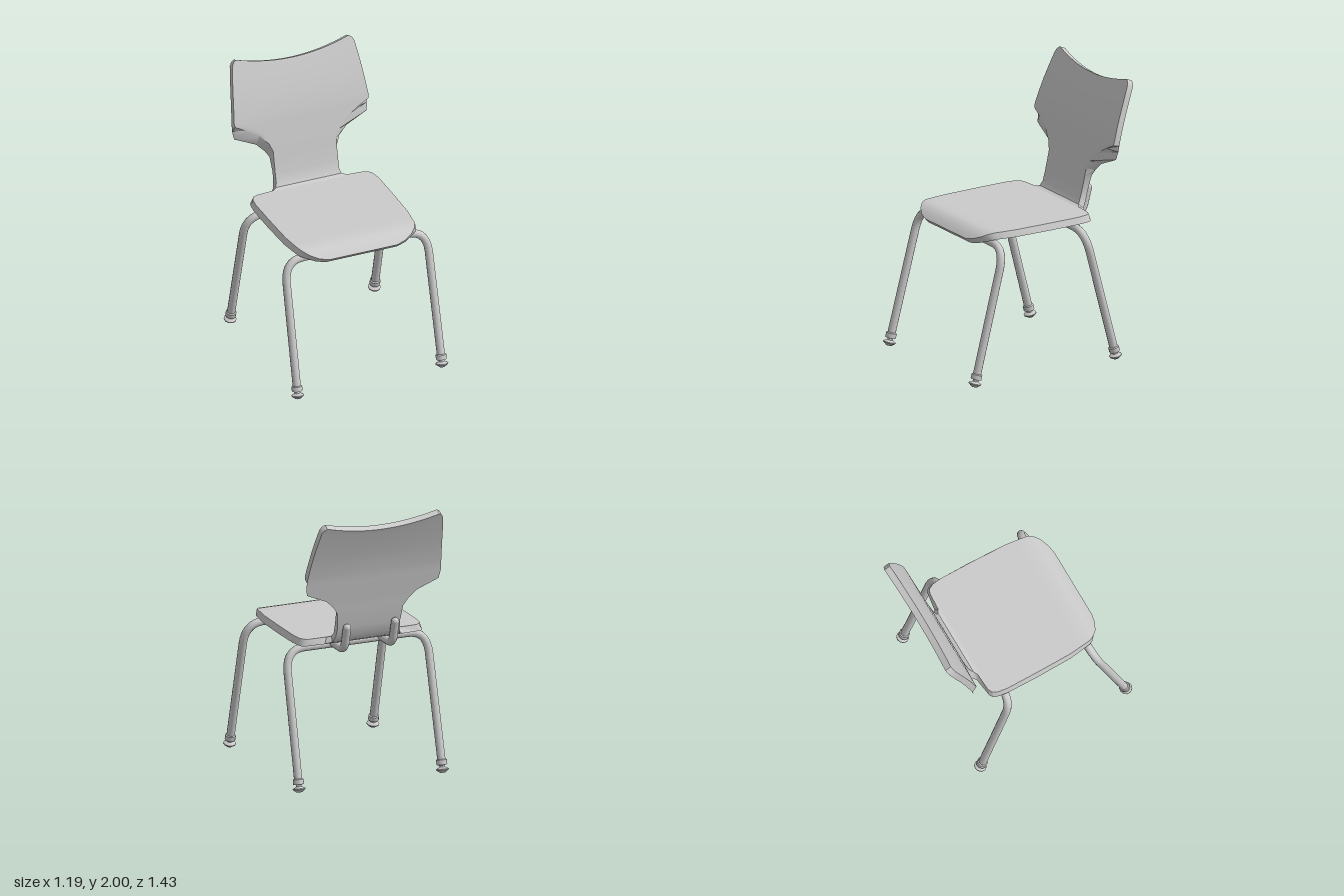
import * as THREE from 'three';
import { toCreasedNormals } from 'three/addons/utils/BufferGeometryUtils.js';

const material = new THREE.MeshStandardMaterial({ color: 0xcccccc });
const V = (x, y, z) => new THREE.Vector3(x, y, z);

function addMesh(parent, name, geometry) {
  const mesh = new THREE.Mesh(geometry, material);
  mesh.name = name;
  parent.add(mesh);
  return mesh;
}

// Shell cross-sections from seat front to back top:
// z, y of the sitting face, half width of the sitting face, half width of the rear face
const ROWS = [
  [0.56, 1.0, 0.26, 0.27], [0.545, 1.015, 0.33, 0.34], [0.515, 1.04, 0.39, 0.4],
  [0.48, 1.06, 0.425, 0.44], [0.44, 1.07, 0.445, 0.455], [0.36, 1.07, 0.455, 0.467],
  [0.27, 1.07, 0.465, 0.48], [0, 1.07, 0.47, 0.487], [-0.24, 1.07, 0.47, 0.485],
  [-0.31, 1.07, 0.46, 0.476], [-0.345, 1.07, 0.44, 0.465], [-0.36, 1.07, 0.41, 0.44],
  [-0.367, 1.072, 0.28, 0.3], [-0.385, 1.08, 0.25, 0.26], [-0.403, 1.11, 0.24, 0.245],
  [-0.42, 1.17, 0.24, 0.24], [-0.445, 1.28, 0.24, 0.252], [-0.455, 1.33, 0.24, 0.285],
  [-0.468, 1.39, 0.265, 0.345], [-0.485, 1.46, 0.33, 0.505], [-0.498, 1.52, 0.43, 0.516],
  [-0.507, 1.56, 0.508, 0.514], [-0.515, 1.59, 0.513, 0.512], [-0.543, 1.68, 0.503, 0.503],
  [-0.575, 1.77, 0.493, 0.493], [-0.615, 1.87, 0.48, 0.48], [-0.652, 1.96, 0.466, 0.466],
  [-0.663, 1.985, 0.452, 0.452], [-0.67, 2.0, 0.43, 0.43],
];

// Bent sheet: a closed ring of points per row, joined to its neighbours and capped
function shellGeometry(thickness = 0.048, n = 16) {
  const pos = [], index = [], ring = 2 * (n + 1);
  const quad = (a, b, c, d) => index.push(a, b, c, a, c, d);
  ROWS.forEach(([z, y, front, rear], i) => {
    const p = ROWS[Math.max(i - 1, 0)], q = ROWS[Math.min(i + 1, ROWS.length - 1)];
    const tz = q[0] - p[0], ty = q[1] - p[1], len = Math.hypot(tz, ty);
    const dip = 0.062 * THREE.MathUtils.clamp((y - 1.6) / 0.4, 0, 1);
    for (let k = 0; k < ring; k++) {
      const isRear = k > n;
      const u = ((isRear ? ring - 1 - k : k) / n) * 2 - 1;
      const sag = dip * (1 - u * u);
      const off = isRear ? thickness / len : 0;
      pos.push(u * (isRear ? rear : front), y - sag + tz * off, z + 0.38 * sag - ty * off);
    }
    if (i === 0) return;
    for (let k = 0; k < ring; k++) {
      const a = (i - 1) * ring, k2 = (k + 1) % ring;
      quad(a + k, a + k2, a + ring + k2, a + ring + k);
    }
  });
  const last = (ROWS.length - 1) * ring;
  for (let j = 0; j < n; j++) {
    const r = ring - 1 - j;
    quad(r, r - 1, j + 1, j);
    quad(last + j, last + j + 1, last + r - 1, last + r);
  }
  const geo = new THREE.BufferGeometry();
  geo.setAttribute('position', new THREE.Float32BufferAttribute(pos, 3));
  geo.setIndex(index);
  return toCreasedNormals(geo, 0.6);
}

// Straight runs joined by curved bends; bends is a list of [start, corner, end]
function bentTube(start, bends, end, radius) {
  const path = new THREE.CurvePath();
  let from = start;
  for (const [a, corner, b] of bends) {
    path.add(new THREE.LineCurve3(from, a));
    path.add(new THREE.QuadraticBezierCurve3(a, corner, b));
    from = b;
  }
  path.add(new THREE.LineCurve3(from, end));
  return new THREE.TubeGeometry(path, 80, radius, 12);
}

// Collar, stem and flared glide, measured up from the floor
const FOOT = [[0, 0], [0.02, 0], [0.045, 0.02], [0.045, 0.027], [0.02, 0.04], [0.02, 0.052],
  [0.038, 0.056], [0.038, 0.09], [0.03, 0.096]].map(([r, y]) => new THREE.Vector2(r, y));

// Inverted U of tube: two splayed legs and the bar beneath the seat
function addLegFrame(parent, name, topZ, footZ) {
  const frame = new THREE.Group();
  frame.name = name;
  parent.add(frame);
  const top = 0.98, floor = 0.01;
  const onLeg = (s, x, y) => V(s * x, y, THREE.MathUtils.mapLinear(y, top, floor, topZ, footZ));
  const bend = (s) => [onLeg(s, 0.543, 0.82), onLeg(s, 0.543, top), V(s * 0.4, top, topZ)];
  addMesh(frame, 'legTube', bentTube(onLeg(-1, 0.55, 0.08),
    [bend(-1), bend(1).reverse()], onLeg(1, 0.55, 0.08), 0.029));
  for (const s of [-1, 1]) {
    const foot = addMesh(frame, 'foot', toCreasedNormals(new THREE.LatheGeometry(FOOT, 10), 0.7));
    const tip = onLeg(s, 0.55, floor);
    foot.position.copy(tip);
    foot.quaternion.setFromUnitVectors(V(0, 1, 0), onLeg(s, 0.55, 0.5).sub(tip).normalize());
  }
}

export function createModel() {
  const chair = new THREE.Group();
  chair.name = 'chair';
  addMesh(chair, 'seatAndBack', shellGeometry());
  addLegFrame(chair, 'frontLegs', 0.42, 0.675);
  addLegFrame(chair, 'rearLegs', -0.25, -0.505);

  // Runners under the seat, turned up behind the back
  for (const x of [-0.185, 0.185]) {
    const front = V(x, 0.99, 0.45), end = V(x, 1.165, -0.505);
    addMesh(chair, 'runner', bentTube(front,
      [[V(x, 0.99, -0.38), V(x, 0.985, -0.46), V(x, 1.06, -0.477)]], end, 0.029));
    for (const p of [front, end]) {
      addMesh(chair, 'runnerEnd', new THREE.SphereGeometry(0.029, 12, 8)).position.copy(p);
    }
  }
  return chair;
}
